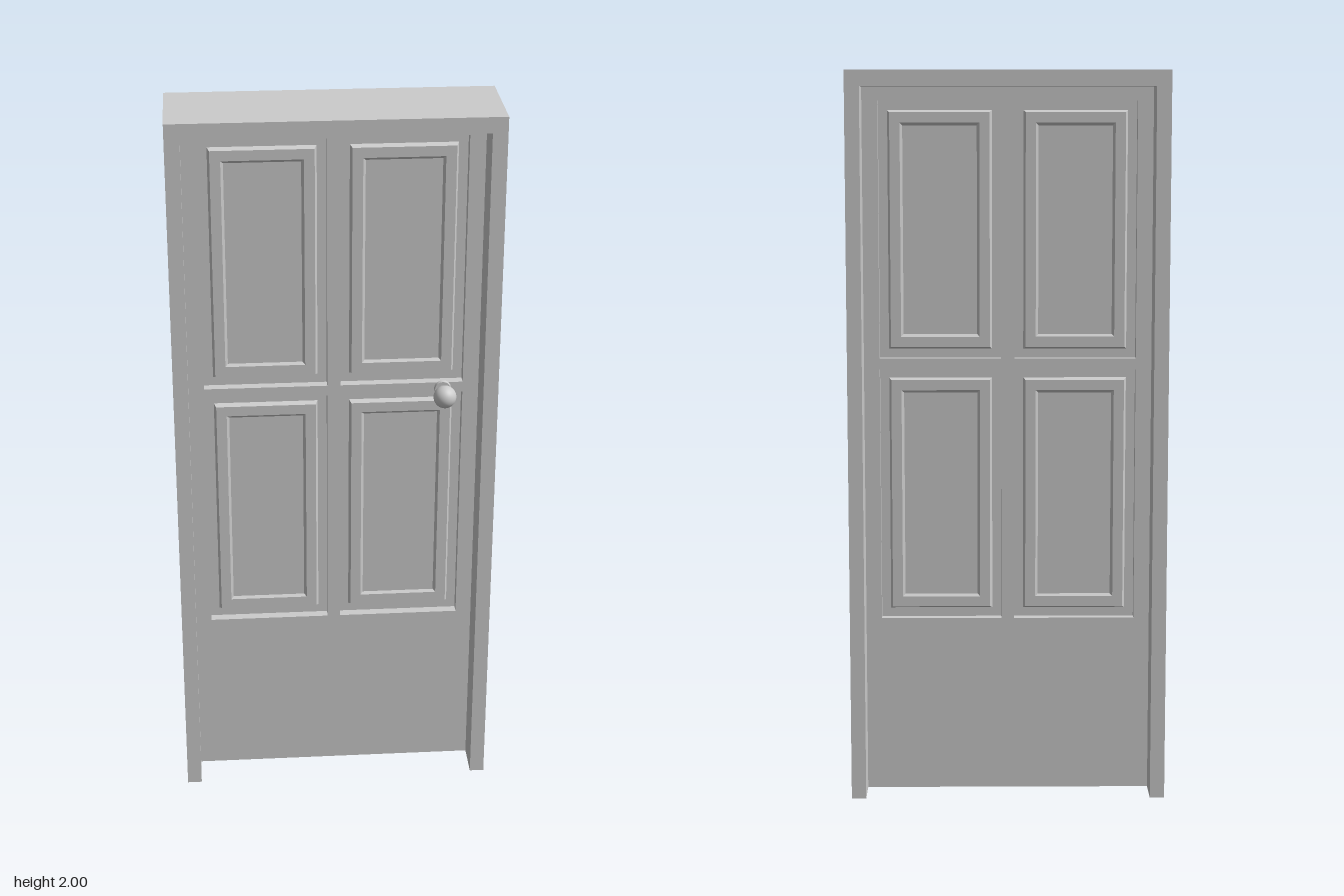
import * as THREE from 'three';

const FACE = 0.03; // half thickness of the door leaf

function rectShape(x0, y0, x1, y1, Type = THREE.Shape) {
  const s = new Type();
  s.moveTo(x0, y0);
  s.lineTo(x1, y0);
  s.lineTo(x1, y1);
  s.lineTo(x0, y1);
  s.closePath();
  return s;
}

// Nested rectangular rings, [inset, z], closed by a flat field
function panelGeometry(w, h, profile) {
  const pos = [];
  const ring = ([i, z]) => {
    const x = w / 2 - i, y = h / 2 - i;
    return [[-x, -y, z], [x, -y, z], [x, y, z], [-x, y, z]];
  };
  const quad = (a, b, c, d) => pos.push(...a, ...b, ...c, ...a, ...c, ...d);
  for (let k = 0; k < profile.length - 1; k++) {
    const o = ring(profile[k]), n = ring(profile[k + 1]);
    for (let j = 0; j < 4; j++) {
      const m = (j + 1) % 4;
      quad(o[j], o[m], n[m], n[j]);
    }
  }
  quad(...ring(profile[profile.length - 1]));
  const g = new THREE.BufferGeometry();
  g.setAttribute('position', new THREE.Float32BufferAttribute(pos, 3));
  g.computeVertexNormals();
  return g;
}

export function createModel() {
  const group = new THREE.Group();
  const mat = new THREE.MeshStandardMaterial({ color: 0xcccccc });
  const add = (name, geo, parent = group) => {
    const m = new THREE.Mesh(geo, mat);
    m.name = name;
    parent.add(m);
    return m;
  };

  // Frame: two jambs and a head in one piece
  const frame = new THREE.Shape([
    [-0.435, 0], [-0.395, 0], [-0.395, 1.957], [0.395, 1.957],
    [0.395, 0], [0.435, 0], [0.435, 2], [-0.435, 2],
  ].map(([x, y]) => new THREE.Vector2(x, y)));
  add('doorFrame', new THREE.ExtrudeGeometry(frame, { depth: 0.264, bevelEnabled: false })
    .translate(0, 0, -0.132));

  // Door leaf with four openings
  const pw = 0.334, ph = 0.7;
  const centres = [];
  for (const x of [-0.185, 0.185]) for (const y of [0.84, 1.57]) centres.push([x, y]);
  const leaf = rectShape(-0.395, 0, 0.395, 1.957);
  for (const [x, y] of centres) {
    leaf.holes.push(rectShape(x - pw / 2, y - ph / 2, x + pw / 2, y + ph / 2, THREE.Path));
  }
  add('doorLeaf', new THREE.ExtrudeGeometry(leaf, { depth: 2 * FACE, bevelEnabled: false })
    .translate(0, 0, -FACE));

  // Recessed panels with raised moulding, on both faces
  const panel = panelGeometry(pw, ph, [
    [0, 0.004], [0.025, 0.004], [0.031, 0.018], [0.059, 0.018], [0.066, 0.012],
  ]);
  for (const [x, y] of centres) {
    add('frontPanel', panel).position.set(x, y, 0);
    const back = add('backPanel', panel);
    back.position.set(x, y, 0);
    back.rotation.y = Math.PI;
  }

  // Knob on the front face
  const knob = new THREE.Group();
  knob.name = 'knob';
  knob.position.set(0.297, 1.203, FACE);
  group.add(knob);
  add('knobRose', new THREE.CylinderGeometry(0.021, 0.023, 0.008, 32).rotateX(Math.PI / 2), knob)
    .position.z = 0.004;
  add('knobShank', new THREE.CylinderGeometry(0.011, 0.011, 0.05, 24).rotateX(Math.PI / 2), knob)
    .position.z = 0.025;
  add('knobBall', new THREE.SphereGeometry(0.031, 32, 20), knob).position.z = 0.057;

  return group;
}
